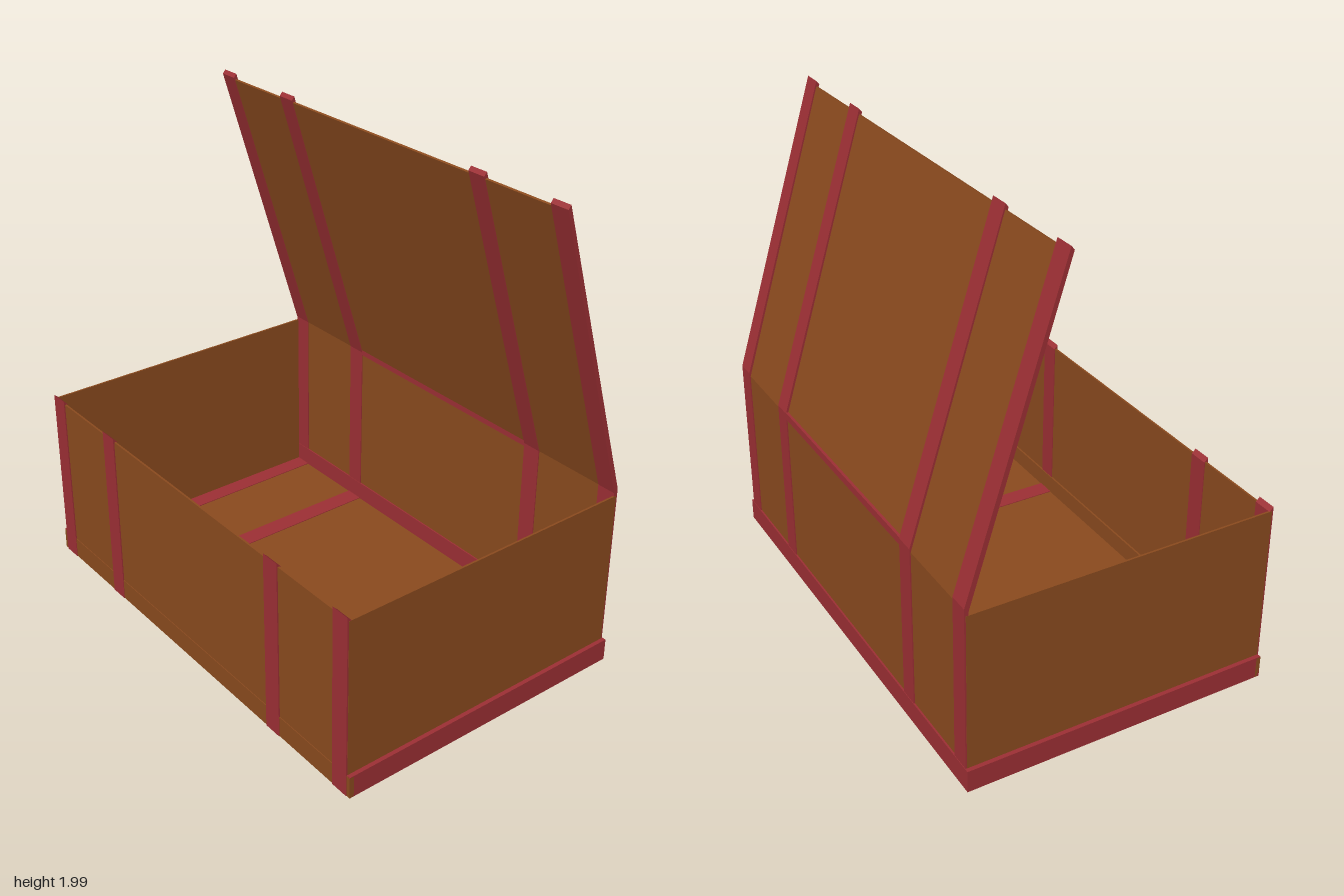
import * as THREE from 'three';

const wood = new THREE.MeshStandardMaterial({ color: 0x8a4a1e });
const red = new THREE.MeshStandardMaterial({ color: 0x9c2f34 });

// Extrudes a side outline of [z, y] points along x, centred on x = cx
function extrudeAcross(points, width, cx, material, name) {
  const shape = new THREE.Shape(points.map(([z, y]) => new THREE.Vector2(z, y)));
  const geo = new THREE.ExtrudeGeometry(shape, { depth: width, bevelEnabled: false });
  geo.translate(0, 0, -width / 2);
  geo.rotateY(-Math.PI / 2);
  const mesh = new THREE.Mesh(geo, material);
  mesh.position.x = cx;
  mesh.name = name;
  return mesh;
}

// Box given by its lower and upper corners
function box(min, max, material, name) {
  const size = max.map((v, i) => v - min[i]);
  const mesh = new THREE.Mesh(new THREE.BoxGeometry(...size), material);
  mesh.position.set(...max.map((v, i) => (v + min[i]) / 2));
  mesh.name = name;
  return mesh;
}

export function createModel() {
  const chest = new THREE.Group();
  chest.name = 'openChest';

  // Front, floor, back and lid boards follow one folded outline
  const boards = [
    [0.638, 0.75], [0.638, 0.003], [-0.638, 0.003], [-0.638, 0.765], [-0.266, 1.968],
    [-0.258, 1.965], [-0.63, 0.763], [-0.63, 0.011], [0.63, 0.011], [0.63, 0.75],
  ];
  chest.add(extrudeAcross(boards, 1.95, 0, wood, 'boards'));

  // Straps wrap the same outline, a little proud on both faces
  const strap = [
    [0.643, 0.766], [0.643, 0], [-0.643, 0], [-0.643, 0.78], [-0.265, 1.99],
    [-0.253, 1.975], [-0.626, 0.765], [-0.626, 0.014], [0.626, 0.014], [0.626, 0.75],
  ];
  for (const x of [-0.942, -0.547, 0.547, 0.942]) {
    chest.add(extrudeAcross(strap, 0.08, x, red, 'strap'));
  }

  // End walls and side base rails
  for (const s of [-1, 1]) {
    const wall = box([-0.004, 0.003, -0.637], [0.004, 0.75, 0.637], wood, 'endWall');
    wall.position.x = s * 0.979;
    const rail = box([-0.01, 0, -0.645], [0.01, 0.093, 0.64], red, 'sideRail');
    rail.position.x = s * 0.99;
    chest.add(wall, rail);
  }

  // Front and back base rails
  chest.add(box([-1, 0.001, 0.622], [1, 0.09, 0.641], wood, 'frontRail'));
  chest.add(box([-1, 0, -0.645], [1, 0.093, -0.624], red, 'backRail'));

  // Hinge strip between the inner straps
  chest.add(box([-0.51, 0.752, -0.643], [0.51, 0.784, -0.626], red, 'hingeStrip'));

  return chest;
}
